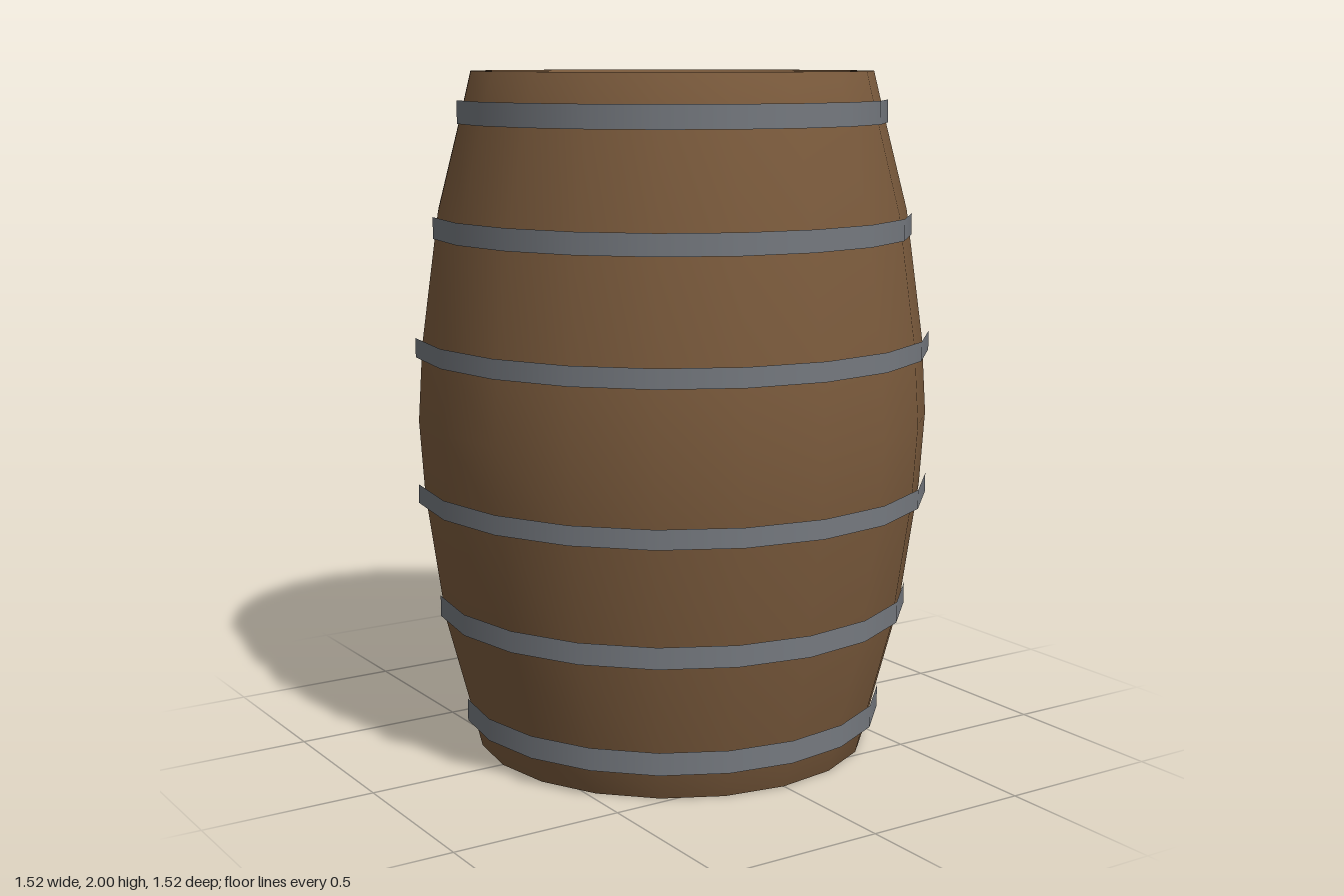
import * as THREE from 'three';

const SIDES = 20;

export function createModel() {
  const group = new THREE.Group();
  group.name = 'barrel';

  const wood = new THREE.MeshStandardMaterial({ color: 0x7a5a3c });
  wood.name = 'brown wood';
  const iron = new THREE.MeshStandardMaterial({ color: 0x75797f });
  iron.name = 'grey iron';

  // Upper half of the body, from the belly to the centre of the recessed lid
  const upper = [
    [0.757, 1], [0.743, 1.22], [0.69, 1.6], [0.62, 1.87], [0.588, 2],
    [0.568, 2], [0.56, 1.94], [0, 1.94],
  ];
  // Mirror it downwards, then run from the bottom centre outwards and up
  const lower = upper.slice(1).reverse().map(([r, y]) => [r, 2 - y]);
  const profile = [...lower, ...upper].map(([r, y]) => new THREE.Vector2(r, y));
  const body = new THREE.Mesh(new THREE.LatheGeometry(profile, SIDES), wood);
  body.name = 'body';
  group.add(body);

  // Thin straight hoops in mirrored pairs: radius, centre height, width
  const hoops = [
    [0.63, 1.885, 0.066],
    [0.705, 1.558, 0.062],
    [0.762, 1.215, 0.056],
  ];
  for (const [radius, y, width] of hoops) {
    for (const [side, height] of [['upper', y], ['lower', 2 - y]]) {
      const hoop = new THREE.Mesh(
        new THREE.CylinderGeometry(radius, radius, width, SIDES, 1, true), iron);
      hoop.name = side + 'Hoop';
      hoop.position.y = height;
      group.add(hoop);
    }
  }
  return group;
}
